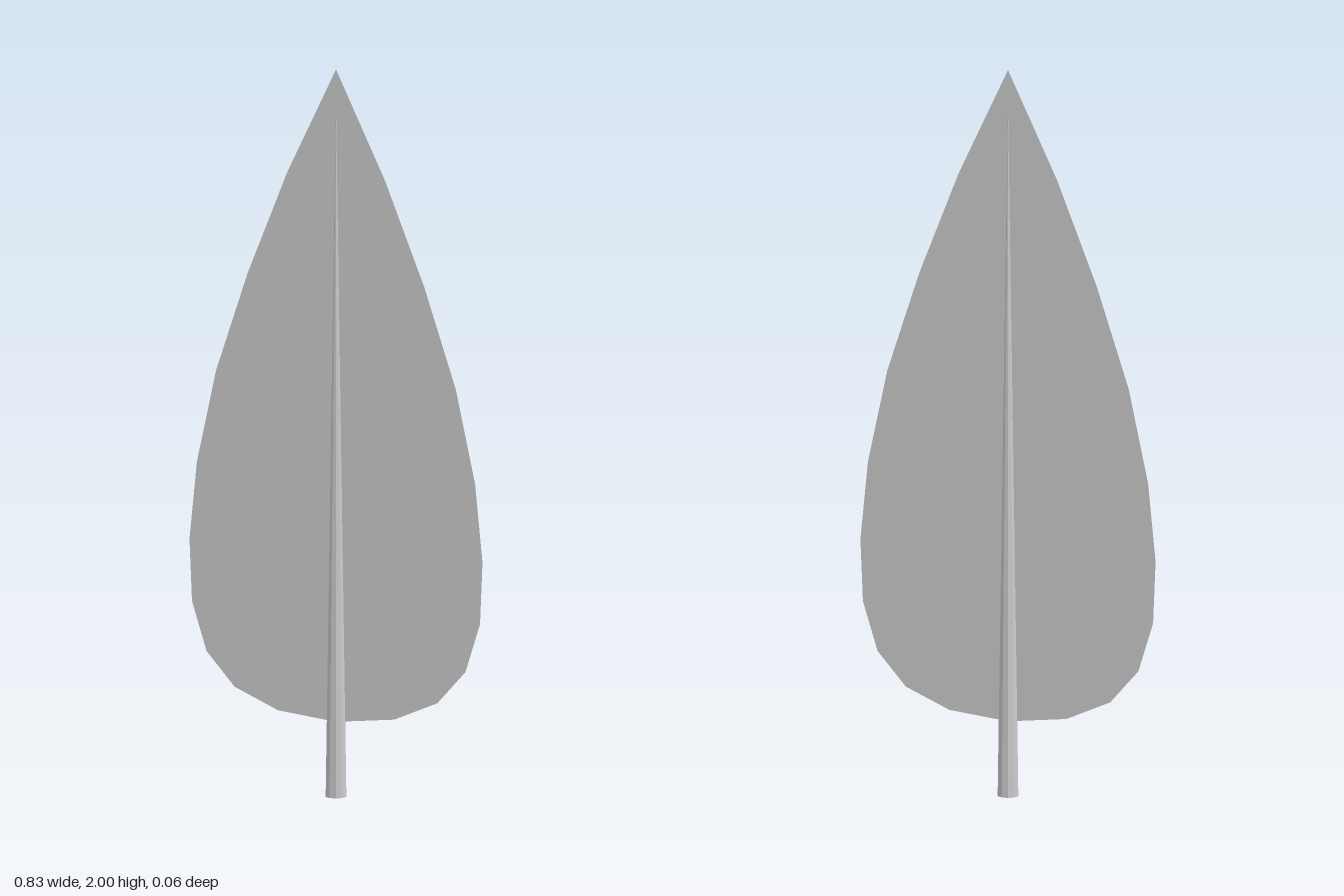
import * as THREE from 'three';

export function createModel() {
  const group = new THREE.Group();
  const grey = new THREE.MeshStandardMaterial({
    color: 0xcccccc, flatShading: true, side: THREE.DoubleSide,
  });

  // Flat leaf blade: one half outline from base to tip, mirrored for the other half
  const half = [
    [0, 0.204], [0.164, 0.223], [0.286, 0.278], [0.365, 0.37], [0.406, 0.505], [0.413, 0.675],
    [0.392, 0.89], [0.338, 1.145], [0.249, 1.42], [0.138, 1.705], [0, 2],
  ].map(([x, y]) => new THREE.Vector2(x, y));
  const mirrored = half.slice(1, -1).reverse().map((p) => new THREE.Vector2(-p.x, p.y));
  const blade = new THREE.Mesh(
    new THREE.ShapeGeometry(new THREE.Shape([...half, ...mirrored])), grey);
  blade.name = 'leafBlade';
  group.add(blade);

  // Ten-sided stem tapering to a point along the midrib
  const height = 1.91;
  const stem = new THREE.Mesh(new THREE.ConeGeometry(0.029, height, 10), grey);
  stem.name = 'stem';
  stem.position.y = height / 2;
  stem.rotation.y = Math.PI / 2;
  group.add(stem);

  return group;
}
